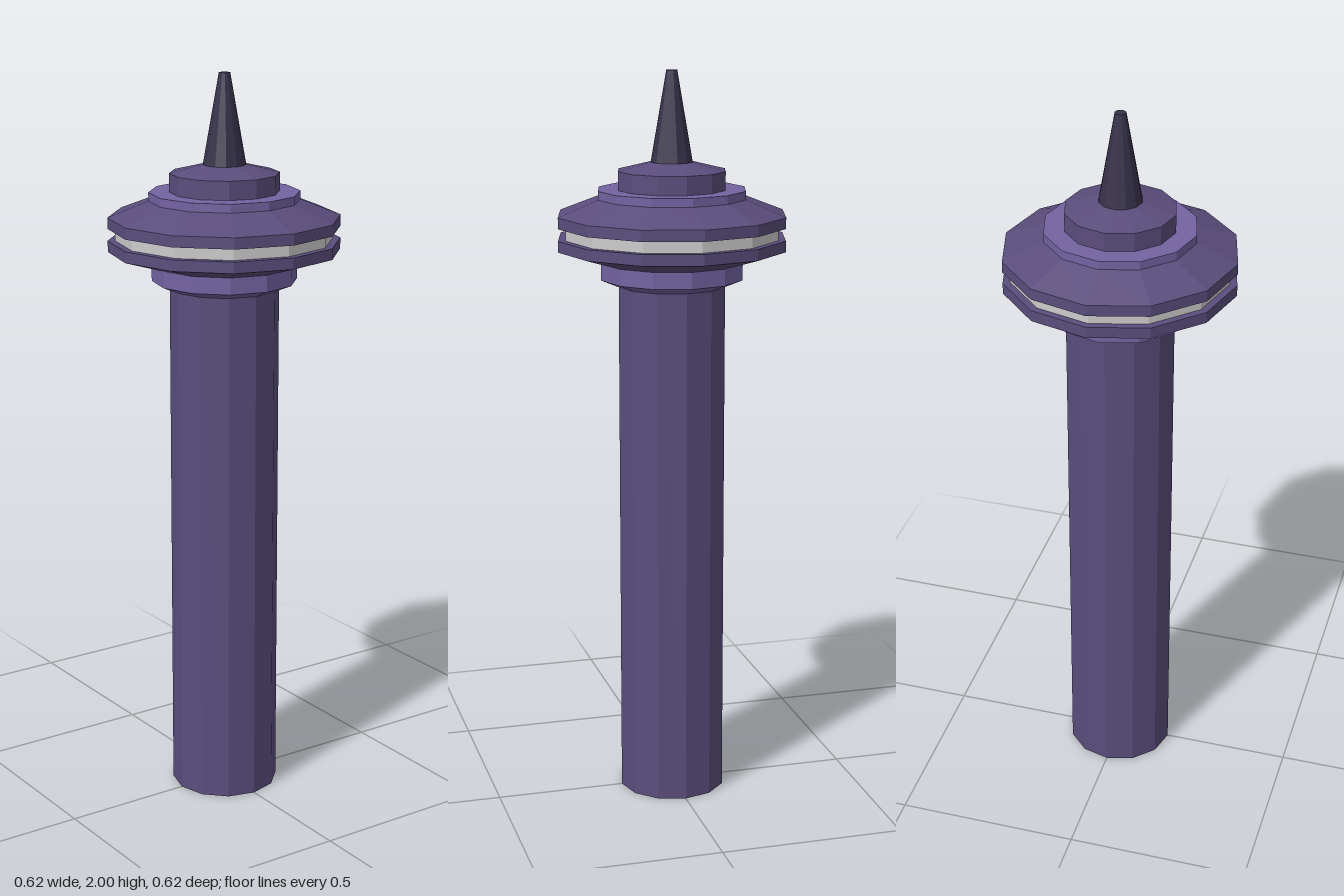
import * as THREE from 'three';

const SIDES = 12;

const paint = (color) => new THREE.MeshStandardMaterial({ color, flatShading: true });

// Faceted solid of revolution; profile is [radius, height] from bottom to top, closed on the axis
function turned(name, material, profile) {
  const first = profile[0], last = profile[profile.length - 1];
  const points = [[0, first[1]], ...profile, [0, last[1]]].map(([r, y]) => new THREE.Vector2(r, y));
  const mesh = new THREE.Mesh(new THREE.LatheGeometry(points, SIDES), material);
  mesh.name = name;
  return mesh;
}

export function createModel() {
  const group = new THREE.Group();
  group.name = 'tower';
  const purple = paint(0x5a4d7c);
  const lilac = paint(0x7363a2);
  const dark = paint(0x37314a);
  const grey = paint(0xcccccc);

  group.add(
    // Shaft
    turned('shaft', purple, [[0.147, 0], [0.147, 1.44]]),
    // Flared collar under the deck
    turned('collar', lilac, [[0.147, 1.43], [0.195, 1.45], [0.195, 1.5]]),
    // Observation deck: lower rim, window band, upper rim with sloping roof
    turned('lowerDeck', purple, [[0.195, 1.495], [0.311, 1.53], [0.311, 1.56]]),
    turned('windowBand', grey, [[0.291, 1.555], [0.291, 1.597]]),
    turned('upperDeck', purple, [[0.311, 1.592], [0.311, 1.622], [0.202, 1.665]]),
    // Roof ring and cap
    turned('roofRing', lilac, [[0.202, 1.66], [0.202, 1.688]]),
    turned('roofCap', purple, [[0.147, 1.68], [0.147, 1.738], [0.058, 1.76]]),
    // Spire
    turned('spire', dark, [[0.058, 1.757], [0.015, 2]])
  );
  return group;
}
